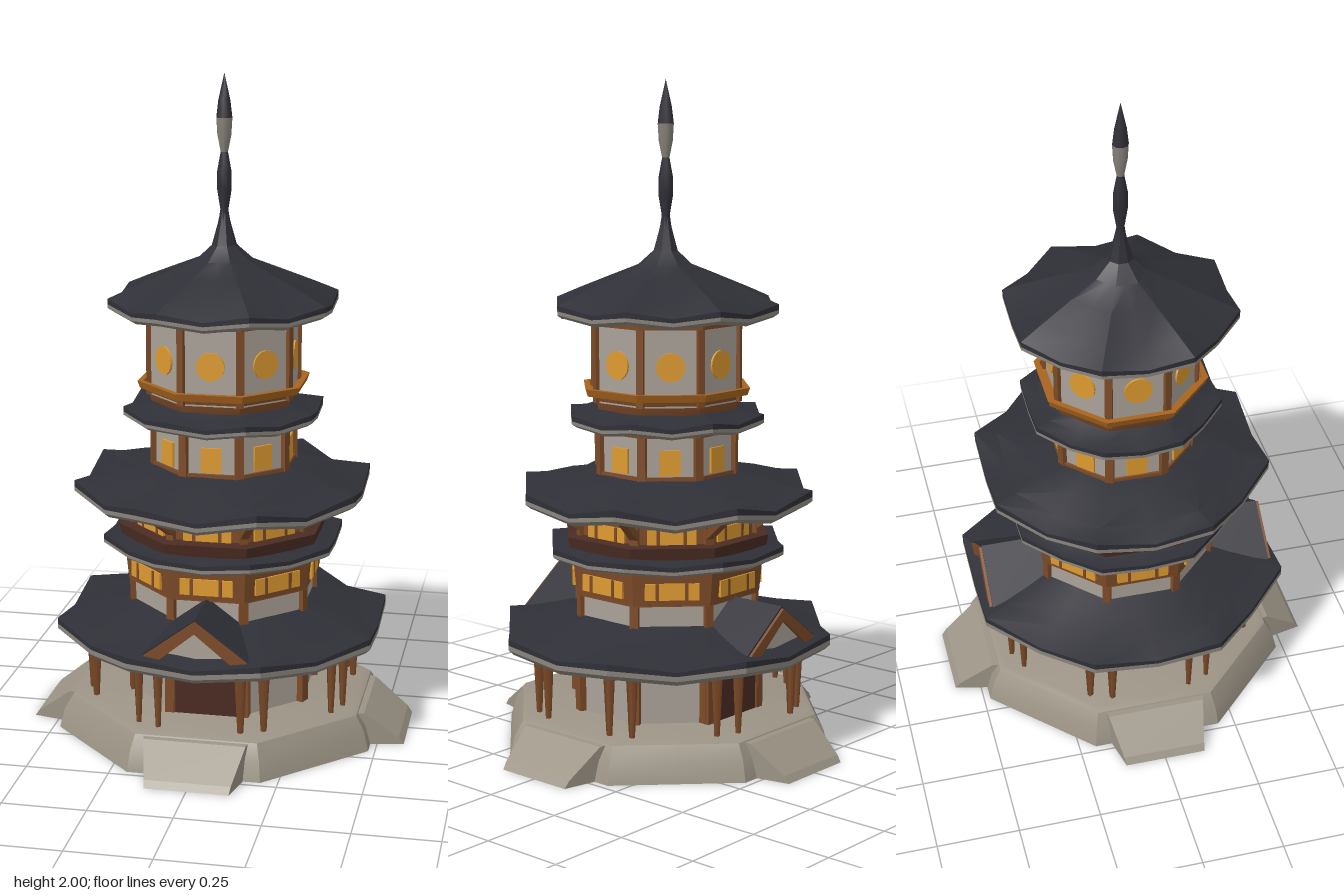
import * as THREE from 'three';
import { toCreasedNormals } from 'three/addons/utils/BufferGeometryUtils.js';

const paint = (name, color) => Object.assign(new THREE.MeshStandardMaterial({ color }), { name });
const slate = paint('roof slate', 0x2f2f37);
const stone = paint('base stone', 0x9b9385);
const plaster = paint('wall plaster', 0xaaa298);
const trim = paint('eave grey', 0x8a847c);
const timber = paint('timber brown', 0x7d4b28);
const dark = paint('dark timber', 0x4a2b22);
const orange = paint('rail orange', 0xa8641f);
const glow = paint('lit window', 0xdd9a30);

const SIDE = Math.PI / 4;
const CORNER = 1 / Math.cos(SIDE / 2);

export function createModel() {
  const model = new THREE.Group();
  model.name = 'pagoda';

  const add = (name, geometry, material, parent = model) => {
    const mesh = new THREE.Mesh(geometry, material);
    mesh.name = name;
    parent.add(mesh);
    return mesh;
  };

  // Octagonal skin through [apothem, y, corner lift] rings, ordered bottom-up along the outside
  const loft = (name, rings, material) => {
    const pos = [];
    const point = ([a, y, lift = 0], j) => {
      const t = (j + 1) * SIDE / 2, corner = j % 2 === 0;
      const r = corner ? a * CORNER : a;
      return [r * Math.sin(t), y + (corner ? lift : 0), r * Math.cos(t)];
    };
    for (let k = 0; k < rings.length - 1; k++) {
      for (let j = 0; j < 16; j++) {
        const a = point(rings[k], j), b = point(rings[k], j + 1);
        const c = point(rings[k + 1], j + 1), d = point(rings[k + 1], j);
        if (rings[k][0] > 0) pos.push(...a, ...b, ...c);
        if (rings[k + 1][0] > 0) pos.push(...a, ...c, ...d);
        else if (rings[k][0] === 0) pos.push(...a, ...c, ...d);
      }
    }
    const g = new THREE.BufferGeometry();
    g.setAttribute('position', new THREE.Float32BufferAttribute(pos, 3));
    return add(name, toCreasedNormals(g, 0.45), material);
  };

  // Group whose +z points out of side i (half steps point at the corners)
  const facing = (name, i) => {
    const g = new THREE.Group();
    g.name = name;
    g.rotation.y = i * SIDE;
    model.add(g);
    return g;
  };

  const box = (name, w, h, d, x, y, z, material, parent) => {
    const m = add(name, new THREE.BoxGeometry(w, h, d), material, parent);
    m.position.set(x, y, z);
    return m;
  };

  // Stone platform with a ramp on four sides
  loft('basePlatform', [[0, 0], [0.48, 0], [0.465, 0.06], [0.44, 0.105], [0.42, 0.112], [0, 0.112]], stone);
  const rampShape = new THREE.Shape([[0.3, 0], [0.58, 0], [0.565, 0.02], [0.46, 0.1], [0.3, 0.11]]
    .map(([x, y]) => new THREE.Vector2(x, y)));
  for (let i = 0; i < 4; i++) {
    const g = facing('entranceRamp', i * 2);
    const geo = new THREE.ExtrudeGeometry(rampShape, { depth: 0.25, bevelEnabled: false });
    geo.translate(0, 0, -0.125).rotateY(-Math.PI / 2);
    // Flare the ramp towards the platform
    const p = geo.attributes.position;
    for (let v = 0; v < p.count; v++) p.setX(v, p.getX(v) * (1 + (0.58 - p.getZ(v)) * 1.8));
    geo.computeVertexNormals();
    add('ramp', geo, stone, g);
  }

  // Storey walls with corner posts and a top beam
  const storey = (name, a, y0, y1, material, post = 0.026) => {
    loft(name + 'Wall', [[a, y0], [a, y1]], material);
    loft(name + 'TopBeam', [[a, y1 - 0.03], [a + 0.012, y1 - 0.03], [a + 0.012, y1], [a, y1]], timber);
    for (let i = 0; i < 8; i++) {
      box(name + 'Post', post, y1 - y0, post, 0, (y0 + y1) / 2, a * CORNER - 0.004, timber, facing(name + 'Corner', i + 0.5));
    }
  };
  storey('firstStorey', 0.262, 0.11, 0.35, plaster, 0.034);
  storey('secondStorey', 0.262, 0.36, 0.5, plaster);
  loft('secondStoreyBand', [[0.262, 0.47], [0.275, 0.475], [0.285, 0.585], [0.2, 0.59]], timber);
  storey('thirdStorey', 0.262, 0.6, 0.75, timber);
  storey('fourthStorey', 0.2, 0.8, 0.99, plaster);
  storey('fifthStorey', 0.212, 1.05, 1.31, plaster, 0.022);

  // Rails and balcony
  loft('thirdStoreyRail', [[0.26, 0.615], [0.295, 0.615], [0.3, 0.65], [0.262, 0.655]], dark);
  loft('balconySkirt', [[0.19, 1.0], [0.205, 1.02], [0.215, 1.07]], timber);
  loft('balconyRail', [[0.2, 1.062], [0.238, 1.07], [0.245, 1.092], [0.228, 1.092], [0.225, 1.075], [0.2, 1.075]], orange);

  // Windows on every side: [apothem, y, width, height]
  const windows = [[0.282, 0.517, 0.16, 0.05], [0.264, 0.672, 0.145, 0.05], [0.202, 0.885, 0.062, 0.075]];
  for (let i = 0; i < 8; i++) {
    const g = facing('windows', i);
    for (const [a, y, w, h] of windows) {
      box('windowPane', w, h, 0.009, 0, y, a, glow, g);
      if (w > 0.1) for (const s of [-1, 1]) box('windowBar', 0.01, h, 0.009, s * w * 0.27, y, a + 0.002, timber, g);
    }
    const round = add('roundWindow', new THREE.CylinderGeometry(0.043, 0.043, 0.008, 16), glow, g);
    round.rotation.x = Math.PI / 2;
    round.position.set(0, 1.17, 0.214);
    box('fourthStoreySill', 0.166, 0.016, 0.012, 0, 0.835, 0.202, timber, g);
    box('firstStoreyLintel', 0.21, 0.035, 0.02, 0, 0.285, 0.262, timber, g);
  }

  // Doors at front and back
  for (const i of [0, 4]) {
    const g = facing('doorway', i);
    box('door', 0.215, 0.16, 0.03, 0, 0.19, 0.262, dark, g);
    for (const s of [-1, 1]) box('doorJamb', 0.025, 0.17, 0.036, s * 0.115, 0.195, 0.262, timber, g);
  }

  // Roofs: eave apothem, eave y, corner lift, wall apothem, trim depth, then the upper surface
  const roof = (name, a, y, lift, inner, t, upper) => {
    loft(name + 'Underside', [[inner, y + 0.01], [a - 0.015, y - t, lift]], timber);
    loft(name + 'EaveTrim', [[a - 0.015, y - t, lift], [a, y - t * 0.5, lift], [a, y, lift]], trim);
    loft(name, [[a, y, lift], [a, y + 0.012, lift * 1.3], ...upper], slate);
  };
  roof('firstRoof', 0.48, 0.318, 0.022, 0.26, 0.03, [[0.4, 0.355, 0.016], [0.32, 0.385, 0.006], [0.255, 0.41]]);
  roof('secondRoof', 0.345, 0.59, 0.012, 0.26, 0.02, [[0.3, 0.61, 0.008], [0.255, 0.63]]);
  roof('thirdRoof', 0.425, 0.745, 0.028, 0.25, 0.025, [[0.36, 0.78, 0.02], [0.28, 0.812, 0.01], [0.195, 0.835]]);
  roof('fourthRoof', 0.285, 0.985, 0.014, 0.195, 0.02, [[0.24, 1.01, 0.008], [0.19, 1.035]]);
  roof('topRoof', 0.325, 1.312, 0.016, 0.2, 0.022,
    [[0.255, 1.365, 0.012], [0.16, 1.412, 0.006], [0.08, 1.452], [0.035, 1.495], [0.018, 1.56], [0.01, 1.6]]);

  // Spire finial
  const lathe = (name, pts, material) => add(name,
    new THREE.LatheGeometry(pts.map(([r, y]) => new THREE.Vector2(r, y)), 8), material);
  lathe('spireStem', [[0.018, 1.56], [0.012, 1.6], [0.022, 1.66], [0.022, 1.71], [0.011, 1.77]], slate);
  lathe('spireCollar', [[0.011, 1.77], [0.021, 1.82], [0.024, 1.87]], trim);
  lathe('spireTip', [[0.024, 1.87], [0.018, 1.92], [0, 2]], slate);

  // Tapered veranda posts and sloping brackets under the wide roofs
  for (let i = 0; i < 8; i++) {
    const g = facing('verandaCorner', i + 0.5);
    for (const s of [-1, 1]) {
      const post = add('verandaPost', new THREE.CylinderGeometry(0.019, 0.009, 0.2, 4), timber, g);
      post.position.set(s * 0.035, 0.21, 0.408);
    }
    box('verandaBeam', 0.025, 0.025, 0.15, 0, 0.3, 0.345, timber, g);
    const bracket = box('eaveBracket', 0.024, 0.024, 0.13, 0, 0.71, 0.33, timber, g);
    bracket.rotation.x = -0.6;
  }

  // Gabled dormers at front and back
  const prism = (pts, depth) => new THREE.ExtrudeGeometry(
    new THREE.Shape(pts.map(([x, y]) => new THREE.Vector2(x, y))), { depth, bevelEnabled: false });
  const chevron = (w, y0, y1, t) => [[-w, y0], [-w + t, y0 - t * 0.5], [0, y1 - t], [w - t, y0 - t * 0.5], [w, y0], [0, y1]];
  for (const i of [0, 4]) {
    const g = facing('dormer', i);
    add('dormerRoof', prism(chevron(0.165, 0.355, 0.478, 0.02), 0.19), slate, g).position.z = 0.26;
    add('dormerBargeboard', prism(chevron(0.16, 0.352, 0.472, 0.036), 0.012), timber, g).position.z = 0.447;
    add('dormerGable', prism([[-0.14, 0.335], [0.14, 0.335], [0, 0.455]], 0.16), plaster, g).position.z = 0.265;
  }

  return model;
}
